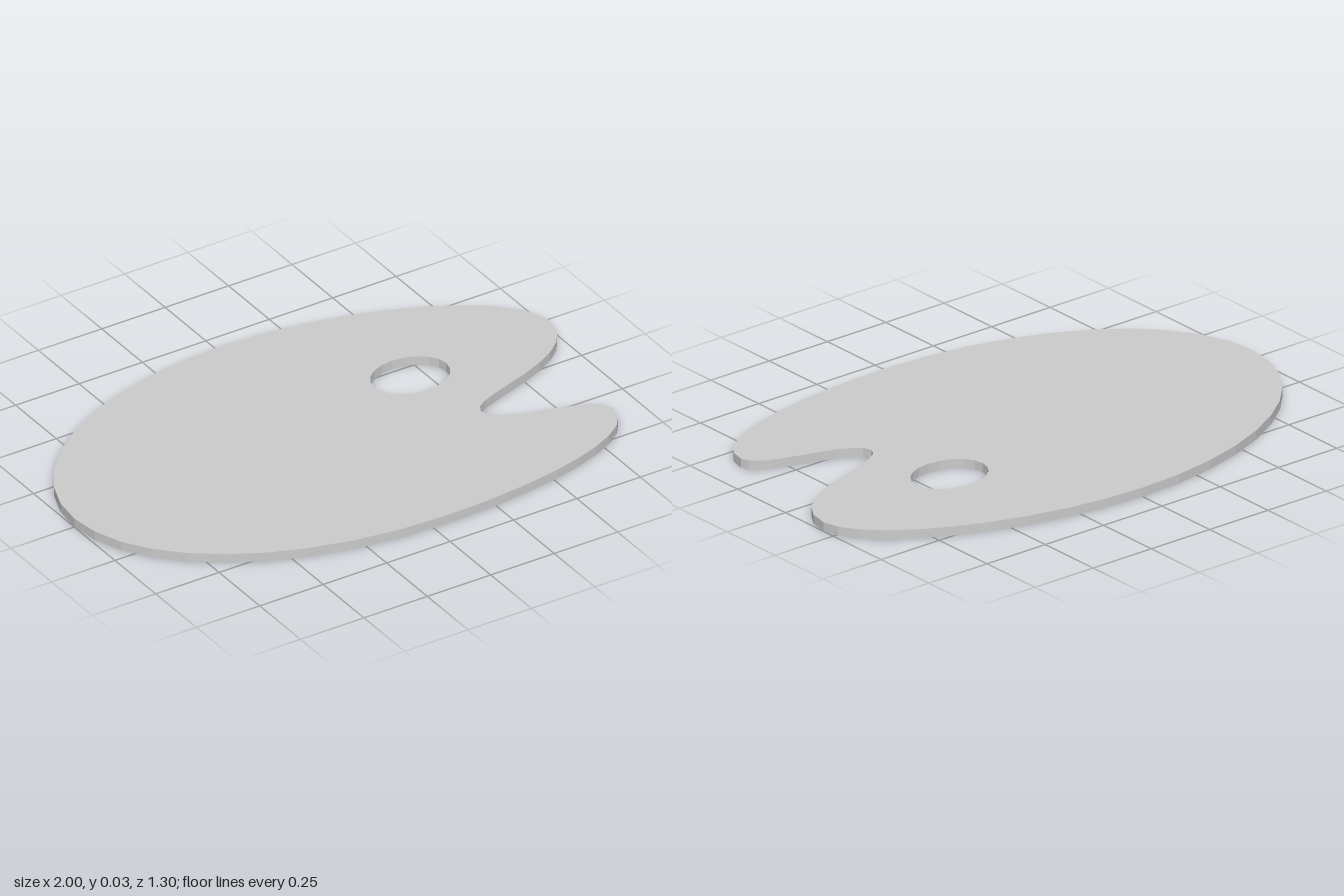
import * as THREE from 'three';

const THICKNESS = 0.033;

export function createModel() {
  const group = new THREE.Group();
  group.name = 'paintersPalette';

  // Board outline, drawn as (x, z)
  const outline = new THREE.Shape();
  outline.moveTo(-1, 0);
  outline.bezierCurveTo(-1, -0.36, -0.55, -0.65, 0, -0.65); // back left curve
  outline.bezierCurveTo(0.5, -0.65, 1, -0.4, 1, -0.2); // back lobe
  outline.bezierCurveTo(1, 0.06, 0.5, 0.06, 0.5, 0.16); // into the notch
  outline.bezierCurveTo(0.5, 0.27, 0.88, 0.27, 0.88, 0.38); // out of the notch
  outline.bezierCurveTo(0.88, 0.56, 0.45, 0.65, 0.05, 0.65); // front lobe
  outline.bezierCurveTo(-0.55, 0.65, -1, 0.36, -1, 0); // front left curve

  // Thumb hole
  const hole = new THREE.Path();
  hole.absellipse(0.425, -0.157, 0.142, 0.11, 0, Math.PI * 2, true);
  outline.holes.push(hole);

  // Lay the board flat with its underside on the ground
  const geometry = new THREE.ExtrudeGeometry(outline, {
    depth: THICKNESS,
    bevelEnabled: false,
    curveSegments: 10,
  });
  geometry.rotateX(Math.PI / 2).translate(0, THICKNESS, 0);

  const board = new THREE.Mesh(
    geometry,
    new THREE.MeshStandardMaterial({ color: 0xcccccc, flatShading: true })
  );
  board.name = 'board';
  group.add(board);
  return group;
}
